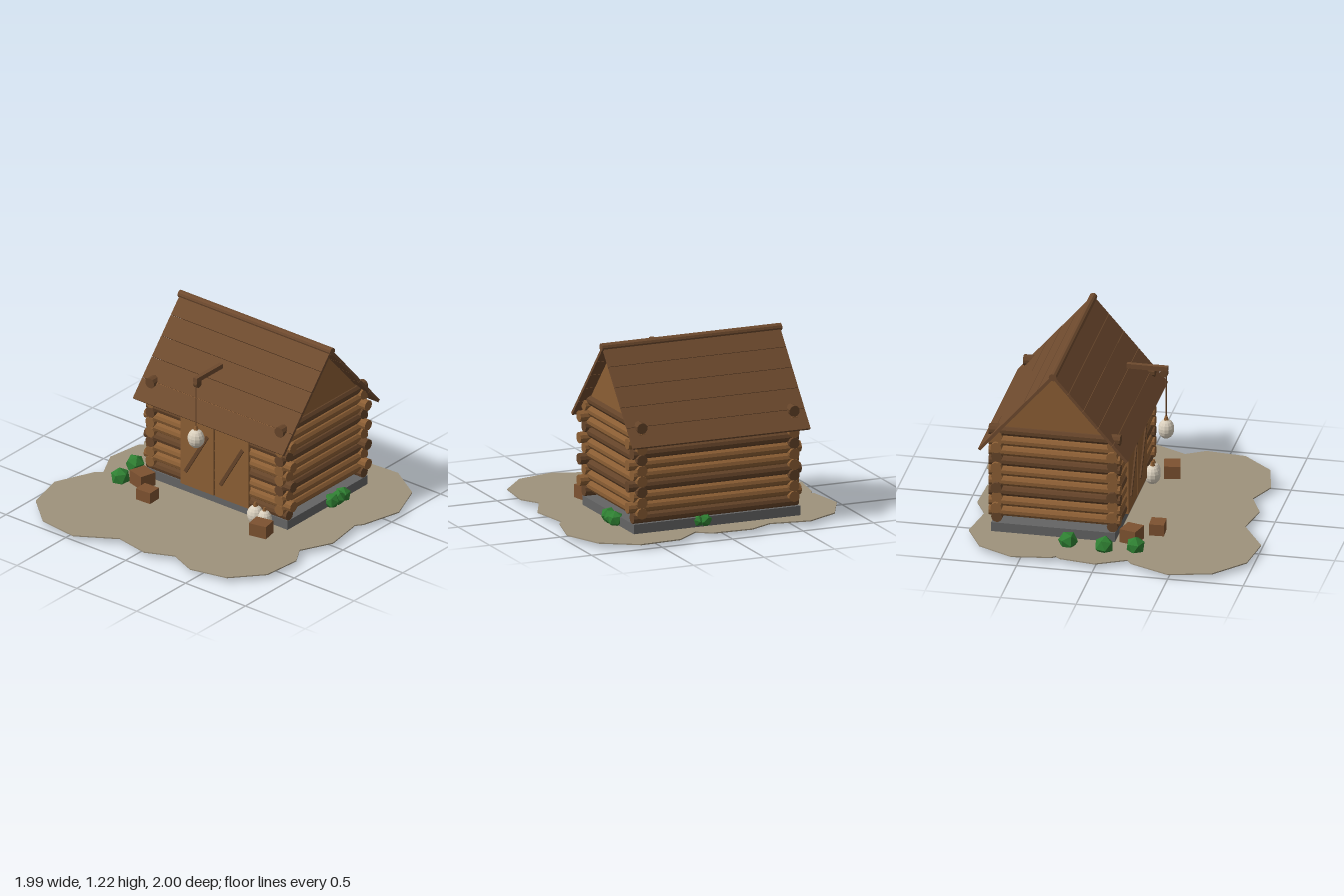
import * as THREE from 'three';

const mat = (name, color, flatShading = true) => {
  const m = new THREE.MeshStandardMaterial({ color, flatShading });
  m.name = name;
  return m;
};

export function createModel() {
  const lightWood = mat('lightWood', 0x8b5e34);
  const darkWood = mat('darkWood', 0x654429);
  const roofWood = mat('roofWood', 0x6e4a2e);
  const crateWood = mat('crateWood', 0x7d5230);
  const stone = mat('stone', 0x646464);
  const sand = mat('sand', 0x9e927c);
  const leaf = mat('leaf', 0x2f7f32);
  const cloth = mat('cloth', 0xd9cfbd);

  const root = new THREE.Group();
  root.name = 'logCabin';
  const group = (name) => {
    const g = new THREE.Group();
    g.name = name;
    root.add(g);
    return g;
  };
  const add = (parent, name, geo, material, x = 0, y = 0, z = 0) => {
    const m = new THREE.Mesh(geo, material);
    m.name = name;
    m.position.set(x, y, z);
    parent.add(m);
    return m;
  };
  const box = (w, h, d) => new THREE.BoxGeometry(w, h, d);
  const rod = (r, len, sides = 10) => new THREE.CylinderGeometry(r, r, len, sides);

  // Ground patch with a wavy outline (x, z)
  const outline = [
    [-1, 0.5], [-0.93, 0.78], [-0.72, 0.965], [-0.44, 1], [-0.18, 0.84], [0.06, 0.885],
    [0.25, 0.8], [0.44, 0.88], [0.7, 0.82], [0.875, 0.62], [0.9, 0.355], [0.825, 0.23],
    [0.93, 0.015], [0.885, -0.265], [0.92, -0.31], [0.99, -0.585], [0.885, -0.85],
    [0.645, -1], [0.36, -0.985], [0.2, -0.855], [0.1, -0.925], [-0.17, -0.935],
    [-0.33, -0.855], [-0.6, -0.9], [-0.82, -0.785], [-0.94, -0.55], [-0.9, -0.29],
    [-0.88, -0.265], [-0.905, -0.235], [-0.94, 0.005], [-0.84, 0.2], [-0.885, 0.235],
  ];
  const patch = new THREE.Shape(outline.map(([x, z]) => new THREE.Vector2(x, z)));
  const patchGeo = new THREE.ExtrudeGeometry(patch, { depth: 0.008, bevelEnabled: false });
  patchGeo.rotateX(Math.PI / 2);
  add(root, 'ground', patchGeo, sand, 0, 0.038, 0);

  // Stone base
  const midZ = -0.338;
  add(root, 'foundation', box(1.18, 0.075, 0.82), stone, 0, 0.0635, -0.345);

  // Interlocking log walls, side logs raised half a log
  const walls = group('logWalls');
  const step = 0.0715;
  for (let i = 0; i < 9; i++) {
    const y = 0.137 + i * step;
    const [x0, x1] = i % 2 ? [-0.6, 0.625] : [-0.58, 0.59];
    for (const z of [0.045, -0.721]) {
      const log = add(walls, 'longLog', rod(0.037, x1 - x0), i % 3 === 0 ? darkWood : lightWood, (x0 + x1) / 2, y, z);
      log.rotation.z = Math.PI / 2;
    }
    for (const x of [-0.54, 0.54]) {
      const log = add(walls, 'sideLog', rod(0.037, 0.87), i % 3 === 2 ? darkWood : lightWood, x, y + step / 2, midZ - 0.004);
      log.rotation.x = Math.PI / 2;
    }
  }

  // Gable triangles
  const tri = new THREE.Shape([
    new THREE.Vector2(-0.37, 0.745), new THREE.Vector2(0.37, 0.745), new THREE.Vector2(0, 1.168),
  ]);
  const gableGeo = new THREE.ExtrudeGeometry(tri, { depth: 0.03, bevelEnabled: false });
  gableGeo.translate(0, 0, -0.015).rotateY(Math.PI / 2);
  for (const x of [-0.54, 0.54]) add(root, 'gable', gableGeo, lightWood, x, 0, midZ);

  // Roof: five planks on each slope plus a ridge log
  const roof = group('roof');
  const run = 0.49, drop = 0.565, slopeLen = Math.hypot(run, drop);
  const planks = 5;
  for (const side of [1, -1]) {
    for (let i = 0; i < planks; i++) {
      const t = (i + 0.5) / planks;
      const plank = add(roof, 'roofPlank', box(1.255, 0.02, slopeLen / planks - 0.003), roofWood,
        0, 1.193 - drop * t, midZ + side * run * t);
      plank.rotation.x = side * Math.atan2(drop, run);
    }
  }
  add(roof, 'ridgeLog', rod(0.026, 1.275), roofWood, 0, 1.194, midZ).rotation.z = Math.PI / 2;

  // Double door with diagonal braces
  const doors = group('doors');
  for (const side of [-1, 1]) {
    add(doors, 'doorPanel', box(0.278, 0.515, 0.022), lightWood, side * 0.145, 0.358, 0.08);
    const brace = add(doors, 'doorBrace', box(0.024, 0.36, 0.012), darkWood, side * 0.147, 0.358, 0.096);
    brace.rotation.z = -0.53;
  }

  // Sack: slightly egg-shaped body with a tied neck
  const sack = (parent, x, y, z, r) => {
    const body = add(parent, 'sackBody', new THREE.SphereGeometry(r, 12, 9), cloth, x, y, z);
    body.scale.set(1, 1.15, 0.92);
    add(parent, 'sackNeck', new THREE.CylinderGeometry(r * 0.15, r * 0.3, r * 0.5, 8), lightWood, x, y + r * 1.3, z);
  };

  // Hoist beam with pulley, rope and hanging sack
  const hoist = group('hoist');
  add(hoist, 'hoistBeam', box(0.03, 0.032, 0.27), roofWood, 0, 1.028, 0.155);
  add(hoist, 'pulley', rod(0.026, 0.03, 12), darkWood, 0, 0.996, 0.266).rotation.z = Math.PI / 2;
  add(hoist, 'rope', rod(0.004, 0.31, 6), darkWood, 0, 0.83, 0.279);
  sack(hoist, 0, 0.6, 0.279, 0.058);

  // Sacks resting by the door
  const sacks = group('groundSacks');
  sack(sacks, 0.36, 0.094, 0.112, 0.058);
  sack(sacks, 0.43, 0.088, 0.105, 0.05);

  // Wooden crates: x, z, width, height, depth, turn
  const crates = group('crates');
  for (const [x, z, w, h, d, turn] of [
    [-0.54, 0.165, 0.125, 0.105, 0.115, -0.27],
    [-0.385, 0.305, 0.115, 0.09, 0.098, 0.05],
    [0.492, 0.215, 0.125, 0.1, 0.105, 0.2],
  ]) {
    add(crates, 'crate', box(w, h, d), crateWood, x, 0.026 + h / 2, z).rotation.y = turn;
  }

  // Low shrubs: x, z, radius
  const shrubs = group('shrubs');
  [
    [-0.69, -0.225, 0.066], [-0.72, 0.02, 0.066], [-0.68, 0.22, 0.066],
    [0.6, -0.375, 0.055], [0.605, -0.435, 0.053], [0.6, -0.49, 0.055],
    [0.08, -0.745, 0.046], [0.13, -0.74, 0.04],
  ].forEach(([x, z, r], i) => {
    const bush = add(shrubs, 'shrub', new THREE.IcosahedronGeometry(r, 0), leaf, x, r > 0.06 ? 0.067 : 0.076, z);
    bush.rotation.set(0.55, i * 0.9, 0);
  });

  return root;
}
